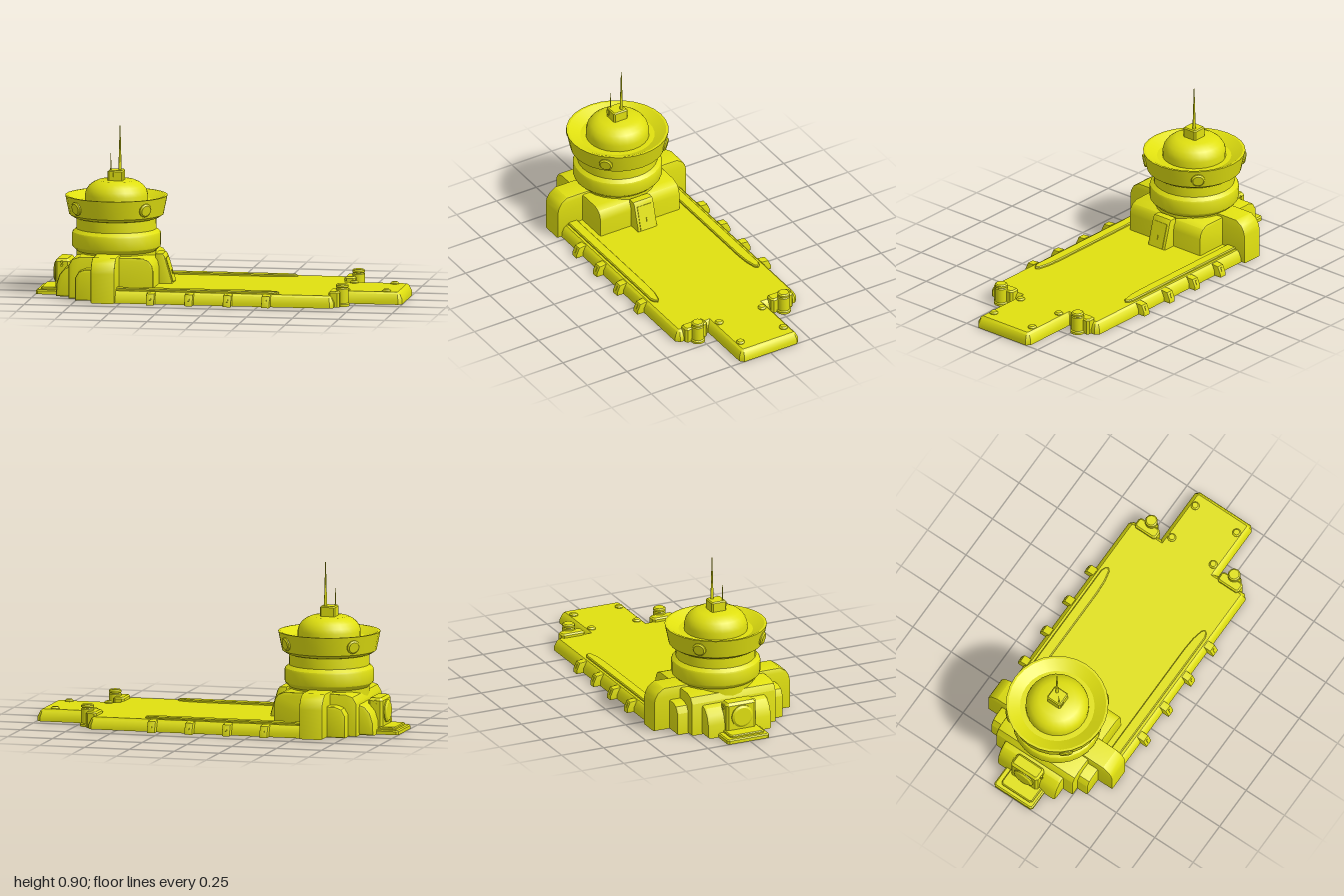
import * as THREE from 'three';
import { toCreasedNormals } from 'three/addons/utils/BufferGeometryUtils.js';

const yellow = new THREE.MeshStandardMaterial({ color: 0xe0e010, side: THREE.DoubleSide });
yellow.name = 'yellow paint';

const TX = -0.58; // tower axis

// Open-bottomed shell: a counter-clockwise plan outline lofted through [height, inset] levels, capped on top
function slab(outline, levels) {
  const n = outline.length;
  const normal = (a, b) => {
    const dx = b[0] - a[0], dy = b[1] - a[1], l = Math.hypot(dx, dy);
    return [-dy / l, dx / l];
  };
  const ring = (y, inset) => outline.map((p, i) => {
    const a = normal(outline[(i + n - 1) % n], p), b = normal(p, outline[(i + 1) % n]);
    const k = inset / (1 + a[0] * b[0] + a[1] * b[1]);
    return [p[0] + (a[0] + b[0]) * k, y, -p[1] - (a[1] + b[1]) * k];
  });
  const rings = levels.map(([y, d]) => ring(y, d));
  const pos = [];
  for (let r = 0; r + 1 < rings.length; r++) {
    for (let i = 0; i < n; i++) {
      const j = (i + 1) % n, a = rings[r], b = rings[r + 1];
      pos.push(...a[i], ...a[j], ...b[j], ...a[i], ...b[j], ...b[i]);
    }
  }
  const top = rings[rings.length - 1];
  const flat = top.map(p => new THREE.Vector2(p[0], -p[2]));
  for (const f of THREE.ShapeUtils.triangulateShape(flat, [])) f.forEach(k => pos.push(...top[k]));
  const g = new THREE.BufferGeometry();
  g.setAttribute('position', new THREE.Float32BufferAttribute(pos, 3));
  return toCreasedNormals(g, 0.5);
}

// Rectangle in plan with cut corners
function rect(x0, x1, z0, z1, c = 0.012) {
  return [[x0 + c, -z1], [x1 - c, -z1], [x1, -z1 + c], [x1, -z0 - c],
    [x1 - c, -z0], [x0 + c, -z0], [x0, -z0 - c], [x0, -z1 + c]];
}

// Side profile extruded along z from -half to half, with its ground face removed
function profile(points, half, bevel = 0.01) {
  const shape = new THREE.Shape(points.map(p => new THREE.Vector2(...p)));
  const g = new THREE.ExtrudeGeometry(shape, {
    depth: 2 * (half - bevel), bevelEnabled: bevel > 0, bevelThickness: bevel,
    bevelSize: bevel, bevelOffset: -bevel, bevelSegments: 2,
  });
  g.translate(0, 0, -(half - bevel));
  const p = g.attributes.position, keep = [];
  for (let i = 0; i < p.count; i += 3) {
    if (Math.max(p.getY(i), p.getY(i + 1), p.getY(i + 2)) < 0.001) continue;
    for (let k = i; k < i + 3; k++) keep.push(p.getX(k), p.getY(k), p.getZ(k));
  }
  const open = new THREE.BufferGeometry();
  open.setAttribute('position', new THREE.Float32BufferAttribute(keep, 3));
  return toCreasedNormals(open, 0.6);
}

function lathe(points, segments) {
  const g = new THREE.LatheGeometry(points.map(p => new THREE.Vector2(...p)), segments);
  return toCreasedNormals(g, 0.45);
}

export function createModel() {
  const model = new THREE.Group();
  model.name = 'dockTower';
  const add = (name, geometry, x = 0, y = 0, z = 0, parent = model) => {
    const m = new THREE.Mesh(geometry, yellow);
    m.name = name;
    m.position.set(x, y, z);
    parent.add(m);
    return m;
  };

  // Deck with a narrower landing at the far end
  const half = [[-0.56, -0.38], [0.64, -0.38], [0.66, -0.36], [0.66, -0.185], [0.98, -0.185], [1, -0.165]];
  const deck = [...half, ...half.map(([x, z]) => [x, -z]).reverse()];
  add('deck', slab(deck, [[0, 0], [0.025, 0], [0.055, 0.014], [0.065, 0.026]]));

  // Fittings repeated on both sides of the deck
  for (const s of [-1, 1]) {
    const rail = [[-0.54, -0.34], [0.32, -0.34], [0.345, -0.33], [0.355, -0.315], [0.34, -0.3],
      [0.28, -0.287], [0.2, -0.282], [-0.54, -0.282]];
    const side = s > 0 ? rail : rail.map(([x, z]) => [x, -z]).reverse();
    add('deckRail', slab(side, [[0.06, 0], [0.072, 0], [0.077, 0.005]]));

    for (let i = 0; i < 4; i++) {
      const b = profile([[0.36, 0], [0.42, 0], [0.42, 0.02], [0.402, 0.06], [0.36, 0.064]], 0.022, 0.003);
      add('sideBracket', b, -0.33 + i * 0.209).rotation.y = -s * Math.PI / 2;
      const slot = add('bracketSlot', new THREE.BoxGeometry(0.01, 0.025, 0.006), -0.33 + i * 0.209, 0.038, s * 0.412);
      slot.rotation.x = -s * 0.42;
    }

    add('bollardMount', slab(rect(0.625, 0.685, s * 0.27 - 0.068, s * 0.27 + 0.068),
      [[0, 0], [0.078, 0], [0.086, 0.008]]));
    add('bollard', lathe([[0.04, 0], [0.04, 0.012], [0.034, 0.018], [0.034, 0.095], [0.029, 0.1], [0.034, 0.104],
      [0.034, 0.114], [0.027, 0.12], [0, 0.12]], 16), 0.692, 0, s * 0.27);

    for (const x of [0.69, 0.91]) {
      add('landingBolt', lathe([[0.023, 0.06], [0.023, 0.069], [0.016, 0.077], [0, 0.077]], 14), x, 0, s * 0.135);
    }
  }

  // Tower base: rounded main block, cross buttress, and lower rear blocks
  const mainBlock = [[-0.8, 0], [-0.34, 0], [-0.34, 0.16], [-0.347, 0.19], [-0.365, 0.213], [-0.4, 0.227],
    [-0.74, 0.227], [-0.78, 0.213], [-0.8, 0.18]];
  add('towerBase', profile(mainBlock, 0.25, 0.008));
  const arch = [[0.405, 0], [0.405, 0.16], [0.398, 0.188], [0.382, 0.215], [0.345, 0.24]];
  const archProfile = [...arch.map(([z, y]) => [-z, y]), ...arch.slice().reverse()];
  add('buttress', profile(archProfile.reverse(), 0.065, 0.008), -0.59).rotation.y = Math.PI / 2;
  const shoulder = [[-0.755, 0], [-0.6, 0], [-0.6, 0.168], [-0.7, 0.168], [-0.735, 0.155], [-0.755, 0.12]];
  add('rearShoulder', profile(shoulder, 0.315));
  const apse = [[-0.88, 0], [-0.7, 0], [-0.7, 0.17], [-0.79, 0.17], [-0.83, 0.155], [-0.86, 0.12], [-0.876, 0.07]];
  add('rearBody', profile(apse, 0.19, 0.015));

  // Sloping doorway facing the deck
  const frame = [[-0.36, 0.03], [-0.263, 0.03], [-0.27, 0.08], [-0.31, 0.213], [-0.32, 0.225], [-0.36, 0.225]];
  add('doorFrame', profile(frame, 0.06, 0.006), 0, 0, -0.003);
  add('doorPanel', new THREE.BoxGeometry(0.008, 0.135, 0.088), -0.287, 0.135, -0.003).rotation.z = 0.29;
  add('doorHandle', new THREE.BoxGeometry(0.006, 0.024, 0.004), -0.277, 0.12, -0.003).rotation.z = 0.29;

  // Rear hatch housing with a round cover and side studs, over a stepped rear plate
  add('hatchHousing', slab(rect(-0.9, -0.82, -0.09, 0.085), [[0, 0], [0.175, 0], [0.19, 0.012]]));
  add('hatchCover', lathe([[0.062, 0], [0.062, 0.008], [0.05, 0.016], [0, 0.016]], 20), -0.898, 0.11, 0)
    .rotation.z = Math.PI / 2;
  for (const s of [-1, 1]) {
    for (const y of [0.155, 0.173]) {
      const stud = add('hatchStud', new THREE.CylinderGeometry(0.007, 0.007, 0.01, 10), -0.862, y, s * 0.09);
      stud.rotation.x = Math.PI / 2;
    }
  }
  add('rearPlate', slab(rect(-1, -0.8, -0.13, 0.12), [[0, 0], [0.018, 0], [0.024, 0.007]]));
  add('rearStep', slab(rect(-0.975, -0.82, -0.1, 0.1), [[0.02, 0], [0.032, 0], [0.037, 0.005]]));

  // Round tower with a flared gallery and recessed roof
  const tower = new THREE.Group();
  tower.name = 'tower';
  tower.position.set(TX, 0, -0.003);
  model.add(tower);
  add('towerDrum', lathe([[0.215, 0.1], [0.215, 0.235], [0.238, 0.258], [0.24, 0.265], [0.24, 0.325],
    [0.236, 0.335], [0.216, 0.352], [0.215, 0.41], [0.23, 0.414], [0.254, 0.43], [0.275, 0.532],
    [0.262, 0.532], [0.2, 0.5], [0.16, 0.5]], 28), 0, 0, 0, tower);
  add('dome', lathe([[0.17, 0.495], [0.17, 0.535], [0.163, 0.56], [0.147, 0.583], [0.125, 0.6],
    [0.098, 0.612], [0, 0.614]], 28), 0, 0, 0, tower);

  // Four round lamps on the gallery diagonals
  for (let i = 0; i < 4; i++) {
    const mount = new THREE.Group();
    mount.name = 'galleryLamp';
    mount.rotation.y = Math.PI / 4 + i * Math.PI / 2;
    tower.add(mount);
    const lamp = add('lampDisc', lathe([[0.037, -0.02], [0.037, 0.008], [0.029, 0.015], [0, 0.015]], 18),
      0, 0.478, 0.26, mount);
    lamp.rotation.x = Math.PI / 2 + 0.2;
  }

  // Roof box and antennas
  add('roofBox', slab(rect(-0.042, 0.042, -0.042, 0.045, 0.008), [[0.605, 0], [0.662, 0], [0.668, 0.006]]),
    0, 0, 0, tower);
  add('tallAntenna', new THREE.CylinderGeometry(0.002, 0.009, 0.24, 8), 0.017, 0.785, -0.014, tower);
  add('shortAntenna', new THREE.CylinderGeometry(0.0012, 0.004, 0.1, 6), -0.026, 0.71, 0.028, tower);
  add('roofBoxStud', new THREE.BoxGeometry(0.02, 0.025, 0.006), -0.02, 0.645, 0.046, tower);
  return model;
}
